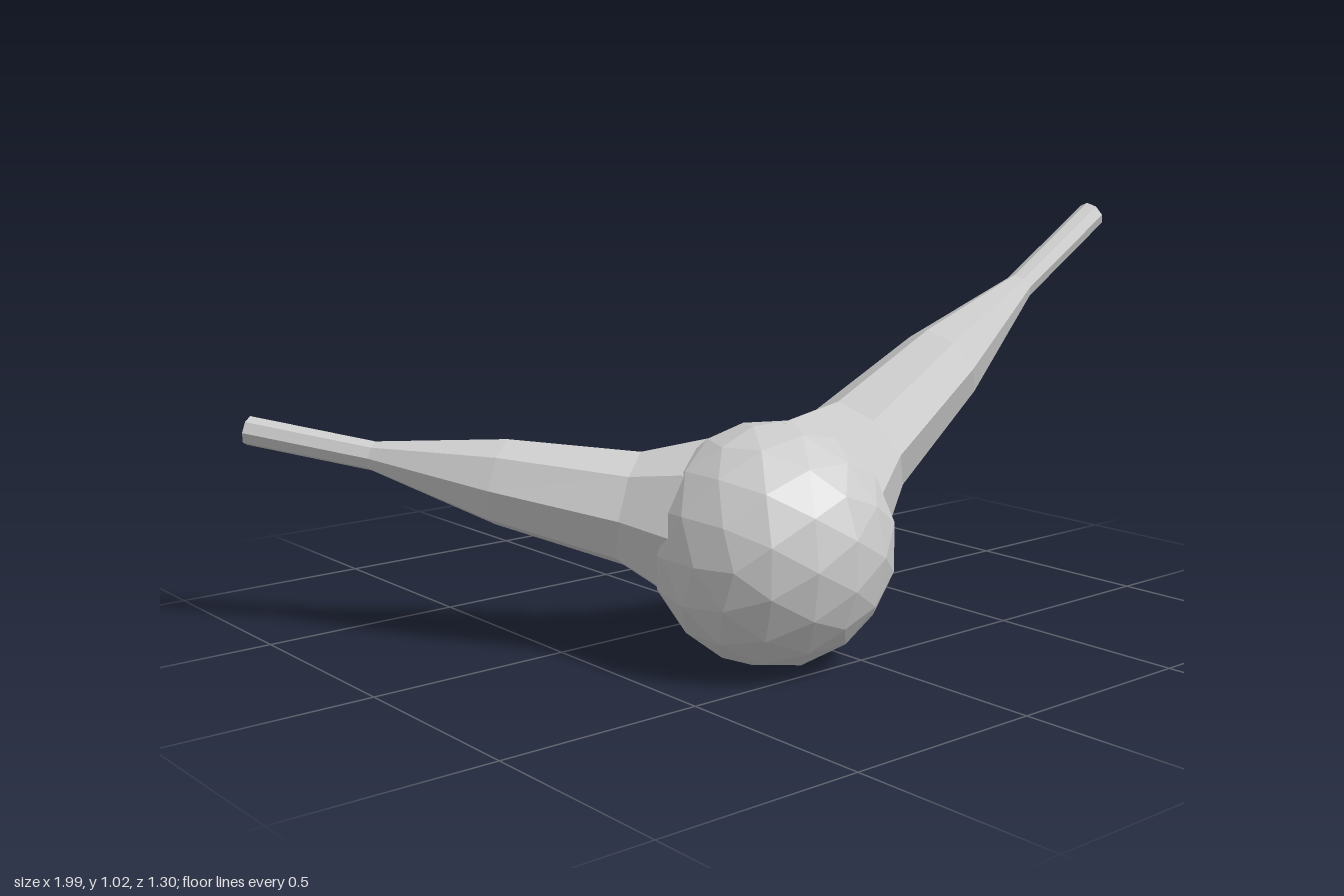
import * as THREE from 'three';

const V = (x, y, z) => new THREE.Vector3(x, y, z);

export function createModel() {
  const group = new THREE.Group();
  const material = new THREE.MeshStandardMaterial({
    color: 0xcccccc, flatShading: true, side: THREE.DoubleSide,
  });

  // Faceted round body
  const body = new THREE.Mesh(new THREE.IcosahedronGeometry(0.287, 2), material);
  body.name = 'body';
  body.position.set(-0.16, 0.285, 0.365);
  group.add(body);

  // Eight-sided tapering arm with an open tube at its tip;
  // radii are those of evenly spaced rings from base to tip
  const radii = [0.27, 0.138, 0.105, 0.036, 0.036];
  function addArm(name, base, tip) {
    const axis = tip.clone().sub(base);
    const length = axis.length();
    const profile = radii.map((r, i) => new THREE.Vector2(r, (length * i) / (radii.length - 1)));
    const arm = new THREE.Mesh(new THREE.LatheGeometry(profile, 8), material);
    arm.name = name;

    // Point the arm along its axis with one edge line on top
    const y = axis.normalize();
    const x = y.clone().cross(V(0, 1, 0)).normalize();
    const z = x.clone().cross(y);
    arm.quaternion.setFromRotationMatrix(new THREE.Matrix4().makeBasis(x, y, z));
    arm.position.copy(base);
    group.add(arm);
  }

  addArm('leftArm', V(-0.155, 0.3, 0.355), V(0.975, 0.995, 0.355));
  addArm('rearRightArm', V(-0.165, 0.3, 0.35), V(-0.97, 0.505, -0.63));

  return group;
}
